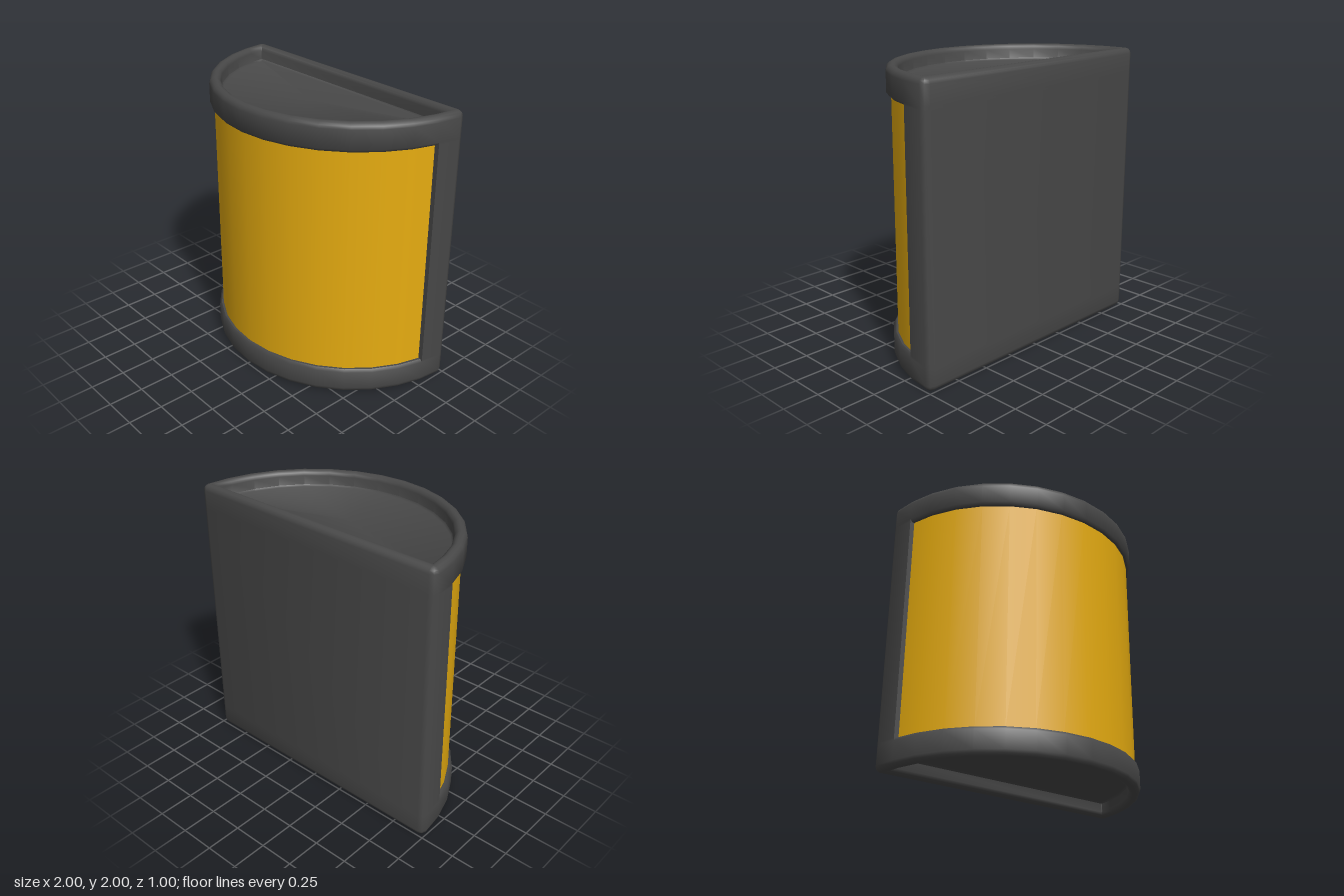
import * as THREE from 'three';
import { toCreasedNormals } from 'three/addons/utils/BufferGeometryUtils.js';

const BACK = -0.5; // plane of the flat back
const STEP = Math.PI / 16; // facet of the half-round front
const EDGE = Math.asin(0.21); // angle where the side returns end

// Half-round plan: [x, z] points running from +x, round the front, to the back.
// t insets the whole plan, recess pushes in only the front between the side returns.
function outline(t, recess) {
  const R = 1 - t, F = R - recess, r = Math.max(0.045 - t, 0.004), c = Math.sqrt(R * R - t * t);
  const w = R * Math.sin(EDGE), x = R * Math.cos(EDGE);
  const corner = [[c, t + r], [c - 0.3 * r, t + 0.3 * r], [c - r, t]];
  const pts = [[x, w], [x - recess, w]];
  for (let k = 2; k < 15; k++) pts.push([F * Math.cos(k * STEP), F * Math.sin(k * STEP)]);
  pts.push([recess - x, w], [-x, w]);
  for (const [cx, cw] of corner) pts.push([-cx, cw]);
  for (const p of corner.slice().reverse()) pts.push(p);
  return pts.map(([px, pw]) => [px, pw + BACK]);
}

// Skin closed rings of equal point count
function loft(rings) {
  const n = rings[0].length, idx = [];
  for (let r = 0; r < rings.length - 1; r++) {
    for (let i = 0; i < n; i++) {
      const a = r * n + i, b = r * n + (i + 1) % n, c = a + n, d = b + n;
      idx.push(a, b, c, b, d, c);
    }
  }
  const g = new THREE.BufferGeometry();
  g.setAttribute('position', new THREE.Float32BufferAttribute(rings.flat(2), 3));
  g.setIndex(idx);
  return toCreasedNormals(g, 0.8);
}

// Housing: shallow dished panel, rounded rim and recessed front, mirrored top to bottom
function housingGeometry() {
  const top = [ // [inset, height, front recess]
    [0.092, 1.888, 0], [0.08, 1.9, 0], [0.08, 1.965, 0], [0.073, 1.985, 0], [0.055, 1.998, 0],
    [0.04, 2, 0], [0.02, 1.994, 0], [0.006, 1.98, 0], [0, 1.96, 0], [0, 1.83, 0],
    [0, 1.81, 0.015], [0, 1.81, 0.06],
  ];
  const bottom = top.map(([t, y, recess]) => [t, 2 - y, recess]).reverse();
  const rings = [...top, ...bottom].map(([t, y, recess]) =>
    outline(t, recess).map(([x, z]) => [x, y, z]));
  const centre = y => rings[0].map(() => [0, y, -0.1]);
  return loft([centre(1.888), ...rings, centre(0.112)]);
}

export function createModel() {
  const model = new THREE.Group();
  const dark = new THREE.MeshStandardMaterial({ color: 0x484848 });
  const amber = new THREE.MeshStandardMaterial({ color: 0xe6ac10, side: THREE.DoubleSide });

  const housing = new THREE.Mesh(housingGeometry(), dark);
  housing.name = 'housing';

  // Curved shade set slightly behind the rims
  const shade = new THREE.Mesh(
    new THREE.CylinderGeometry(0.97, 0.97, 1.62, 14, 1, true, -Math.PI / 2 + STEP, 14 * STEP), amber);
  shade.position.set(0, 1, BACK);
  shade.name = 'shade';

  model.add(housing, shade);
  return model;
}
